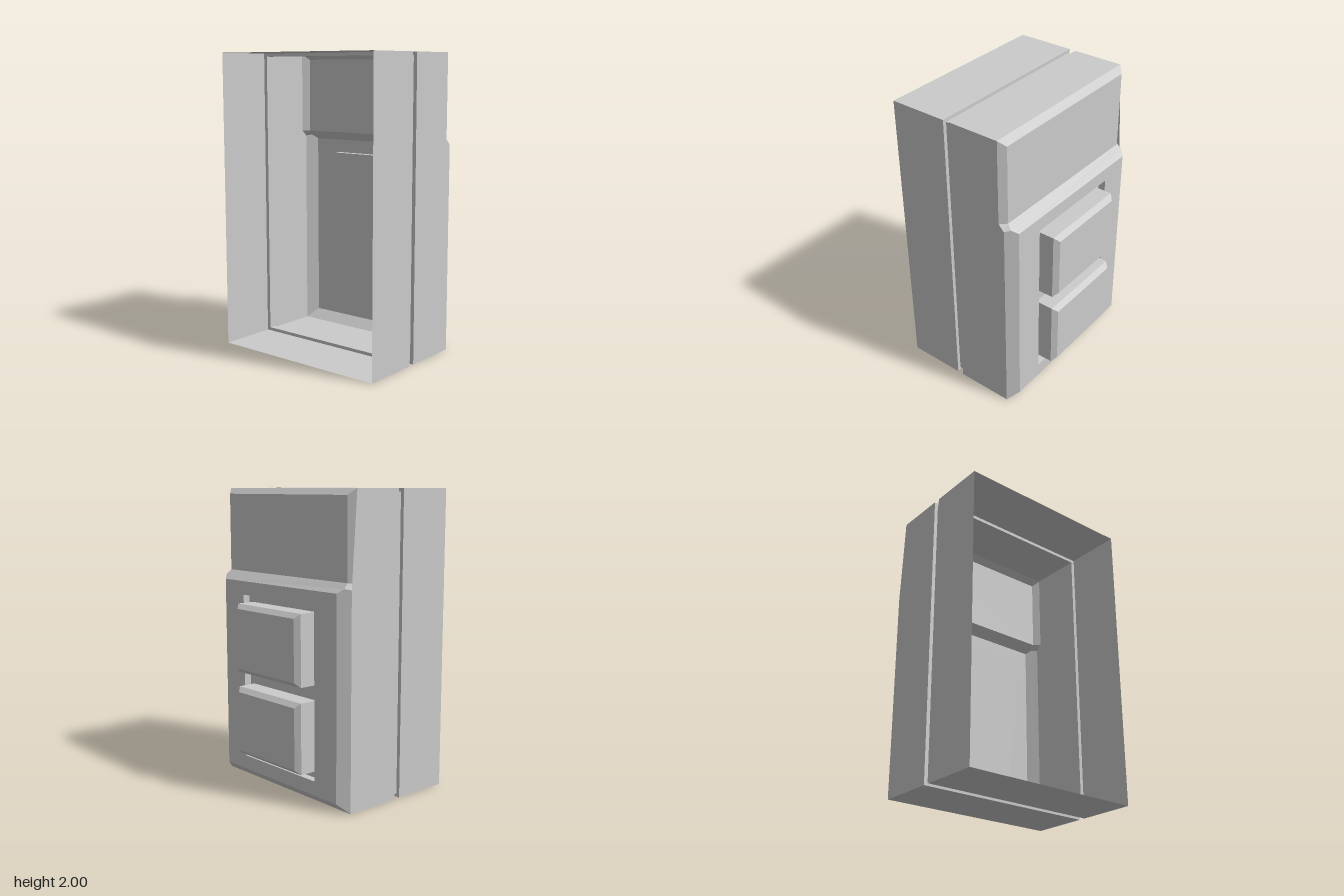
import * as THREE from 'three';

const material = new THREE.MeshStandardMaterial({ color: 0xcccccc, flatShading: true, side: THREE.DoubleSide });

// Rectangle facing +x, counter-clockwise seen from +x
const rect = (x, z, y0, y1) => [[x, y0, z], [x, y0, -z], [x, y1, -z], [x, y1, z]];

// Convex polygon (or one visible from its first corner) as a fan of triangles
function face(out, pts) {
  for (let i = 1; i < pts.length - 1; i++) out.push(...pts[0], ...pts[i], ...pts[i + 1]);
}

// Face on the +z side plus its mirror image on the -z side
function mirrored(out, pts) {
  face(out, pts);
  face(out, pts.map(([x, y, z]) => [x, y, -z]).reverse());
}

// Bands between successive rectangles, optionally closed by the last one
function loft(out, rings, cap) {
  for (let r = 0; r < rings.length - 1; r++) {
    const a = rings[r], b = rings[r + 1];
    for (let i = 0; i < 4; i++) {
      const j = (i + 1) % 4;
      face(out, [a[i], a[j], b[j], b[i]]);
    }
  }
  if (cap) face(out, rings[rings.length - 1]);
}

function makeMesh(name, positions) {
  const geometry = new THREE.BufferGeometry();
  geometry.setAttribute('position', new THREE.Float32BufferAttribute(positions, 3));
  geometry.computeVertexNormals();
  const mesh = new THREE.Mesh(geometry, material);
  mesh.name = name;
  return mesh;
}

export function createModel() {
  const group = new THREE.Group();
  group.name = 'wallSwitch';
  const W = 0.63, H = 2, seam = -0.063, wallX = 0.29, upX = 0.33, lowX = 0.395;

  // Rear box, open at the back, with the seam groove
  const rear = [];
  loft(rear, [
    rect(-0.505, W, 0, H), rect(-0.108, W, 0, H),
    rect(-0.108, W - 0.025, 0.022, H - 0.022),
    rect(seam, W - 0.025, 0.022, H - 0.022), rect(seam, W, 0, H),
  ], false);
  group.add(makeMesh('rearHousing', rear));

  // Corners where the upper panel steps out to the lower one (+z side)
  const A = [wallX, 1.44, W], B = [upX, 1.4, W], C = [upX, 1.44, 0.59];
  const D = [lowX, 1.38, 0.568], E = [0.362, 1.408, 0.6];
  const topOut = [wallX, H, W], topIn = [upX, 1.96, 0.59];
  const botOut = [upX, 0, W], botIn = [lowX, 0.063, 0.568];
  const flip = ([x, y, z]) => [x, y, -z];

  // Front housing walls, chamfers, upper panel and sloping step
  const front = [];
  mirrored(front, [A, topOut, [seam, H, W], [seam, 0, W], botOut, B]);
  mirrored(front, [A, C, topIn, topOut]);
  mirrored(front, [B, E, C, A]);
  mirrored(front, [botOut, botIn, D, E, B]);
  face(front, [[seam, 0, W], [seam, 0, -W], flip(botOut), botOut]);
  face(front, [topOut, flip(topOut), [seam, H, -W], [seam, H, W]]);
  face(front, [botOut, flip(botOut), flip(botIn), botIn]);
  face(front, [topIn, flip(topIn), flip(topOut), topOut]);
  face(front, [C, flip(C), flip(topIn), topIn]);
  face(front, [D, flip(D), flip(E), flip(C), C, E]);
  group.add(makeMesh('frontHousing', front));

  // Lower panel with its shallow recess
  const panel = [];
  const recessX = 0.345;
  loft(panel, [
    rect(lowX, 0.568, 0.063, 1.38), rect(lowX, 0.363, 0.158, 1.288), rect(recessX, 0.363, 0.158, 1.288),
  ], true);
  group.add(makeMesh('recessedPanel', panel));

  // Two bevelled push buttons
  [['lowerButton', 0.205, 0.672], ['upperButton', 0.772, 1.239]].forEach(([name, y0, y1]) => {
    const button = [];
    loft(button, [
      rect(recessX, 0.322, y0, y1), rect(0.469, 0.322, y0, y1), rect(0.5, 0.291, y0 + 0.031, y1 - 0.031),
    ], true);
    group.add(makeMesh(name, button));
  });

  return group;
}
